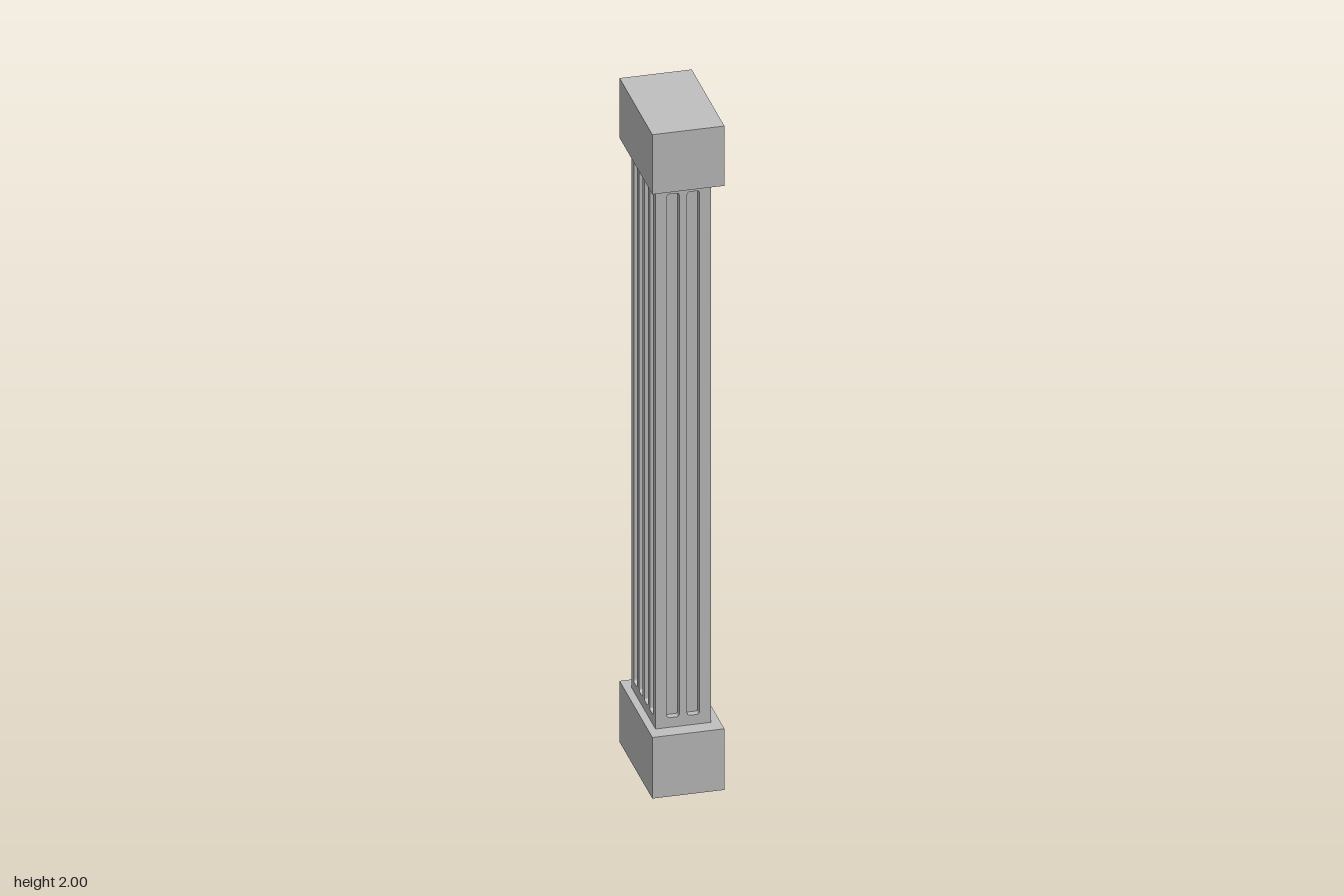
import * as THREE from 'three';

const stone = new THREE.MeshStandardMaterial({ color: 0xc0c0c0 });
stone.name = 'stone';

// Shaft extents and flute dimensions
const X0 = -0.079, X1 = 0.075, Z = 0.126;
const Y0 = 0.184, Y1 = 1.82;
const DEPTH = 0.02, FLUTE_W = 0.034, PITCH = 0.056, FLUTE_Y0 = 0.213, FLUTE_Y1 = 1.79;

// Box given by its minimum and maximum corners
function block(name, [ax, ay, az], [bx, by, bz]) {
  const mesh = new THREE.Mesh(new THREE.BoxGeometry(bx - ax, by - ay, bz - az), stone);
  mesh.position.set((ax + bx) / 2, (ay + by) / 2, (az + bz) / 2);
  mesh.name = name;
  return mesh;
}

// Narrow vertical slot with softened corners
function slot(cx) {
  const r = 0.008, l = cx - FLUTE_W / 2, rt = cx + FLUTE_W / 2;
  const p = new THREE.Path();
  p.moveTo(l + r, FLUTE_Y0);
  p.lineTo(rt - r, FLUTE_Y0);
  p.quadraticCurveTo(rt, FLUTE_Y0, rt, FLUTE_Y0 + r);
  p.lineTo(rt, FLUTE_Y1 - r);
  p.quadraticCurveTo(rt, FLUTE_Y1, rt - r, FLUTE_Y1);
  p.lineTo(l + r, FLUTE_Y1);
  p.quadraticCurveTo(l, FLUTE_Y1, l, FLUTE_Y1 - r);
  p.lineTo(l, FLUTE_Y0 + r);
  p.quadraticCurveTo(l, FLUTE_Y0, l + r, FLUTE_Y0);
  return p;
}

// Facing slab pierced by evenly spaced flutes
function flutedPanel(name, width, count) {
  const w = width / 2;
  const shape = new THREE.Shape([
    new THREE.Vector2(-w, Y0), new THREE.Vector2(w, Y0),
    new THREE.Vector2(w, Y1), new THREE.Vector2(-w, Y1),
  ]);
  for (let i = 0; i < count; i++) shape.holes.push(slot((i - (count - 1) / 2) * PITCH));
  const geo = new THREE.ExtrudeGeometry(shape, { depth: DEPTH, bevelEnabled: false, curveSegments: 4 });
  const mesh = new THREE.Mesh(geo, stone);
  mesh.name = name;
  return mesh;
}

export function createModel() {
  const pilaster = new THREE.Group();
  pilaster.name = 'pilaster';

  // Base and capital blocks
  pilaster.add(block('base', [-0.1, 0, -0.172], [0.1, Y0, 0.172]));
  pilaster.add(block('capital', [-0.1, Y1, -0.172], [0.1, 2, 0.172]));

  // Shaft core forms the plain side and the floors of the flutes
  pilaster.add(block('shaftCore', [X0 + DEPTH, Y0, -Z + DEPTH], [X1, Y1, Z - DEPTH]));

  // Front and back faces with two flutes each
  const cx = (X0 + X1) / 2;
  const front = flutedPanel('frontPanel', X1 - X0, 2);
  front.position.set(cx, 0, Z - DEPTH);
  const back = flutedPanel('backPanel', X1 - X0, 2);
  back.rotation.y = Math.PI;
  back.position.set(cx, 0, -Z + DEPTH);

  // Wide fluted face on the right, with four flutes
  const side = flutedPanel('rightPanel', 2 * (Z - DEPTH), 4);
  side.rotation.y = -Math.PI / 2;
  side.position.set(X0 + DEPTH, 0, 0);

  pilaster.add(front, back, side);
  return pilaster;
}
